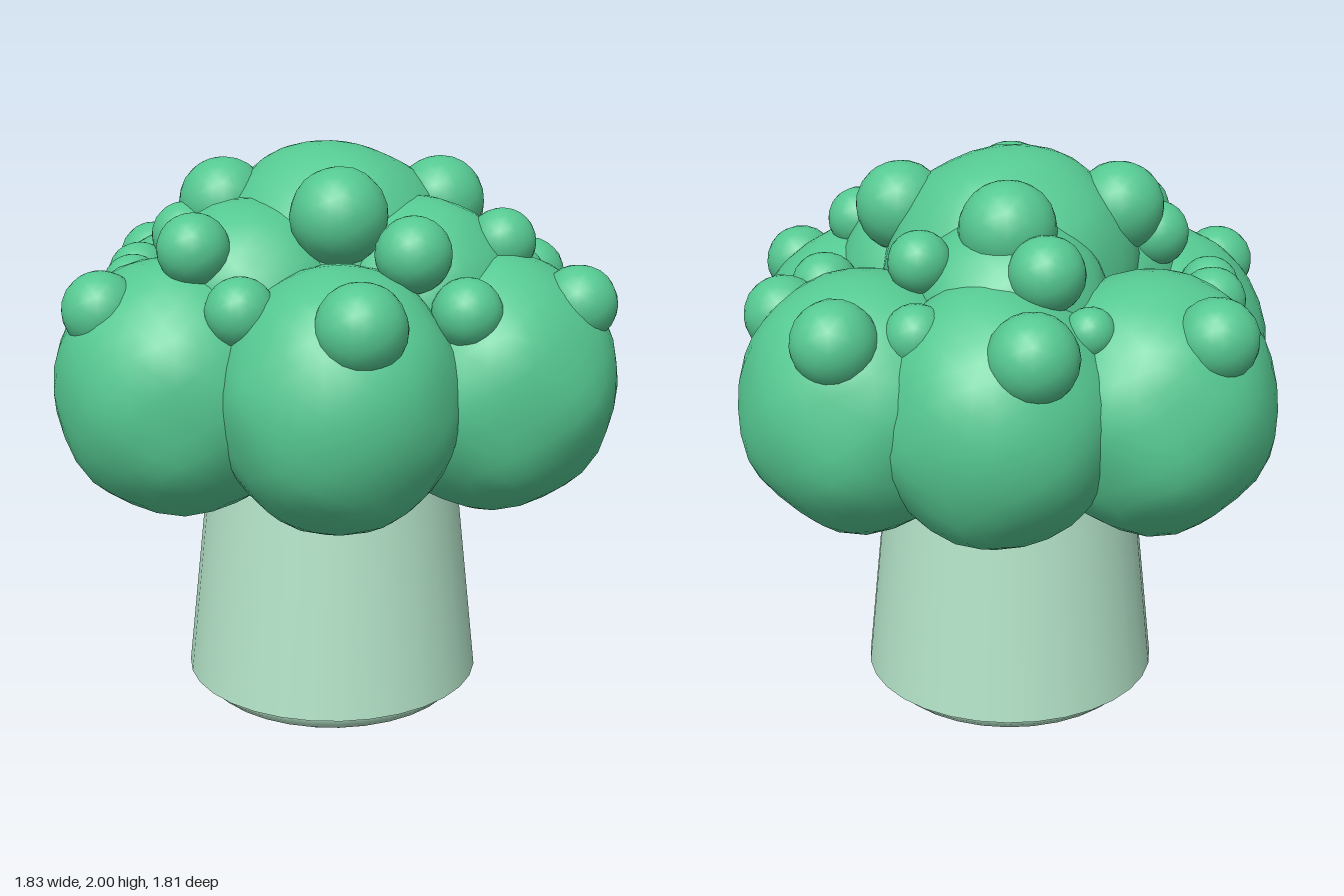
import * as THREE from 'three';
import { mergeVertices } from 'three/addons/utils/BufferGeometryUtils.js';

const stemMat = new THREE.MeshStandardMaterial({ color: 0xb3e2c7 });
const floretMat = new THREE.MeshStandardMaterial({ color: 0x55c891 });

// Smooth, slightly lumpy ball
function lumpyBall(name, [x, y, z], [rx, ry, rz], detail, lump) {
  let geo = new THREE.IcosahedronGeometry(1, detail);
  geo.deleteAttribute('uv');
  geo.deleteAttribute('normal');
  geo = mergeVertices(geo, 1e-4);
  const p = geo.attributes.position;
  const v = new THREE.Vector3();
  for (let i = 0; i < p.count; i++) {
    v.fromBufferAttribute(p, i);
    const n = Math.sin(v.x * 5 + x * 9) * Math.sin(v.y * 6 + z * 7) * Math.cos(v.z * 5 + x * 4);
    v.multiplyScalar(1 + lump * n);
    p.setXYZ(i, v.x * rx, v.y * ry, v.z * rz);
  }
  geo.computeVertexNormals();
  const mesh = new THREE.Mesh(geo, floretMat);
  mesh.name = name;
  mesh.position.set(x, y, z);
  return mesh;
}

export function createModel() {
  const model = new THREE.Group();
  model.name = 'broccoli';

  // Tapered stem, drawn in at the top where it meets the crown
  const stem = new THREE.Group();
  stem.name = 'stem';
  const trunk = new THREE.Mesh(new THREE.CylinderGeometry(0.435, 0.515, 0.725, 32), stemMat);
  trunk.name = 'trunk';
  trunk.position.y = 0.5075;
  const neck = new THREE.Mesh(new THREE.CylinderGeometry(0.3, 0.435, 0.19, 32), stemMat);
  neck.name = 'neck';
  neck.position.y = 0.965;
  // Rounded cut end under the stem
  const base = new THREE.Mesh(new THREE.SphereGeometry(1, 32, 16), stemMat);
  base.name = 'roundedBase';
  base.scale.set(0.485, 0.14, 0.485);
  base.position.y = 0.14;
  stem.add(trunk, neck, base);
  model.add(stem);

  const crown = new THREE.Group();
  crown.name = 'crown';
  model.add(crown);

  // Outer ring of six large florets: x, z, width radius
  [
    [-0.01, 0.51, 0.39], [0.5, 0.28, 0.415], [0.45, -0.38, 0.41],
    [0.03, -0.51, 0.4], [-0.45, -0.38, 0.41], [-0.5, 0.28, 0.415],
  ].forEach(([x, z, r]) =>
    crown.add(lumpyBall('outerFloret', [x, 1.25, z], [r, 0.425, r], 5, 0.03)));

  // Middle tier of three florets
  [[-0.27, 0.2], [0.27, 0.2], [0, -0.29]].forEach(([x, z]) =>
    crown.add(lumpyBall('middleFloret', [x, 1.51, z], [0.33, 0.33, 0.33], 5, 0.03)));

  // Top dome
  crown.add(lumpyBall('topFloret', [0, 1.58, 0], [0.43, 0.42, 0.42], 5, 0.03));

  // Small buds: x, y, z, radius
  const buds = [
    // around the top dome
    [0, 1.8, 0.36, 0.155], [0.36, 1.8, 0, 0.15], [0, 1.8, -0.36, 0.155], [-0.36, 1.8, 0, 0.15],
    // on the middle florets
    [-0.45, 1.71, 0.42, 0.115], [0.22, 1.7, 0.49, 0.12], [0.53, 1.7, 0.26, 0.11],
    [-0.49, 1.7, 0.05, 0.11], [0.27, 1.71, -0.41, 0.1], [-0.12, 1.7, -0.52, 0.12],
    // on the outer florets
    [0.04, 1.53, 0.76, 0.14], [0.38, 1.53, 0.55, 0.11], [-0.31, 1.54, 0.55, 0.11],
    [0.76, 1.52, 0.38, 0.125], [-0.74, 1.52, 0.4, 0.125],
    [0.62, 1.53, -0.02, 0.115], [-0.67, 1.53, 0.01, 0.1],
    [0.72, 1.5, -0.27, 0.13], [-0.66, 1.53, -0.18, 0.11],
    [0.51, 1.52, -0.65, 0.135], [-0.63, 1.52, -0.59, 0.13],
    [0.27, 1.53, -0.6, 0.1], [-0.25, 1.54, -0.59, 0.08], [-0.08, 1.51, -0.76, 0.14],
  ];
  for (const [x, y, z, r] of buds) crown.add(lumpyBall('bud', [x, y, z], [r, r, r], 3, 0.01));

  return model;
}
